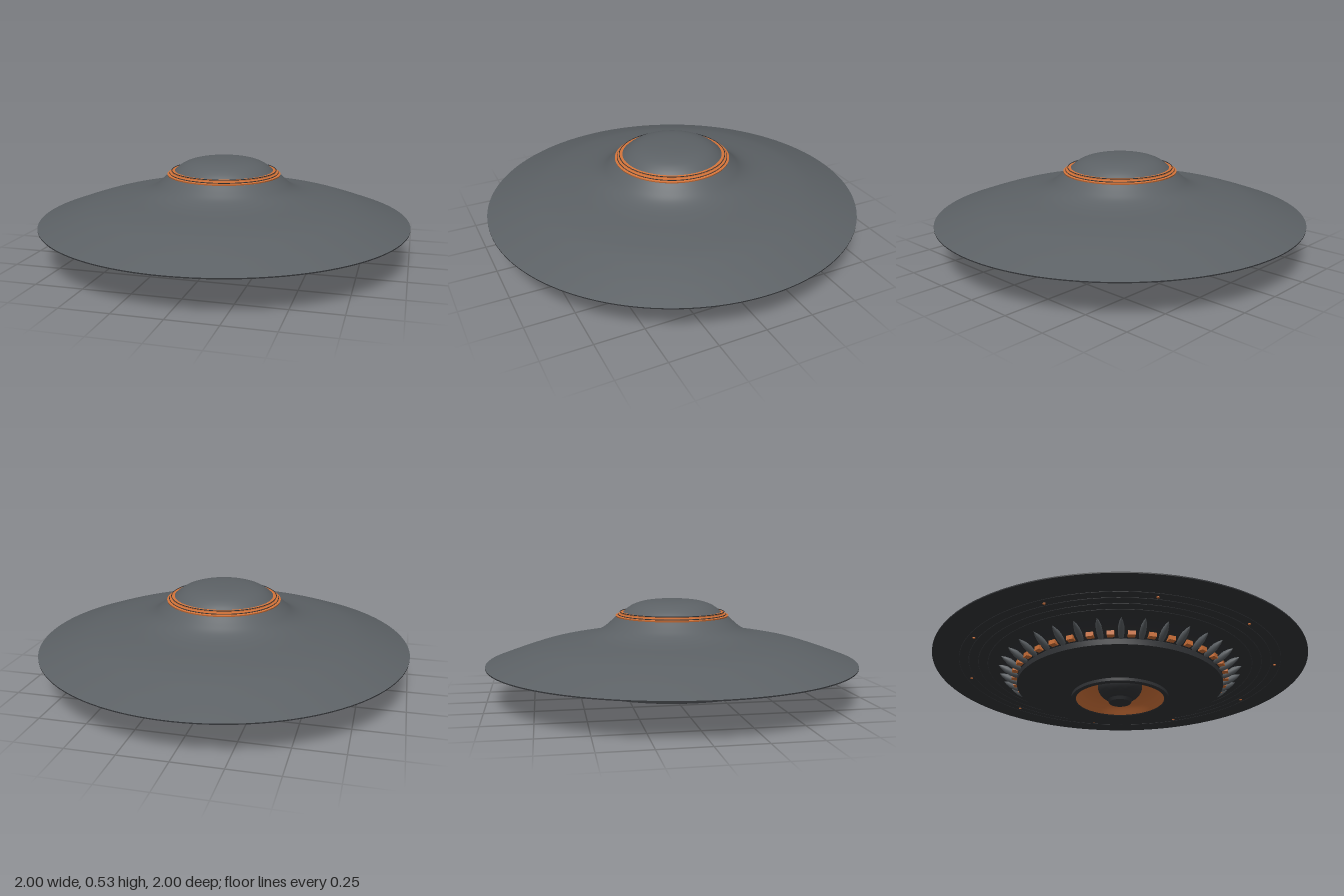
import * as THREE from 'three';
import { toCreasedNormals } from 'three/addons/utils/BufferGeometryUtils.js';

const material = (name, color) => {
  const m = new THREE.MeshStandardMaterial({ color });
  m.name = name;
  return m;
};

export function createModel() {
  const grey = material('hull grey', 0x5c6165);
  const dark = material('underside charcoal', 0x333538);
  const orange = material('glow orange', 0xd4743a);

  const model = new THREE.Group();
  model.name = 'saucer';

  const add = (name, geometry, mat, parent = model) => {
    const mesh = new THREE.Mesh(geometry, mat);
    mesh.name = name;
    parent.add(mesh);
    return mesh;
  };
  const vectors = (points) => points.map(([r, y]) => new THREE.Vector2(r, y));
  // Profiles run from the bottom centre outwards, then up to the top centre
  const smoothLathe = (points, steps) =>
    new THREE.LatheGeometry(new THREE.SplineCurve(vectors(points)).getPoints(steps), 128);
  const sharpLathe = (points) =>
    toCreasedNormals(new THREE.LatheGeometry(vectors(points), 96), 0.45);

  // Upper hull, sweeping from the thin rim up to the neck
  add('upperHull', smoothLathe([
    [1, 0.2], [0.93, 0.226], [0.84, 0.258], [0.72, 0.296], [0.6, 0.321], [0.5, 0.338],
    [0.43, 0.355], [0.38, 0.378], [0.34, 0.41], [0.305, 0.442],
  ], 40), grey);

  // Orange collar with fine grooves
  add('domeCollar', sharpLathe([
    [0.305, 0.442], [0.307, 0.449], [0.293, 0.451], [0.293, 0.457], [0.282, 0.459],
    [0.282, 0.465], [0.266, 0.467],
  ]), orange);
  for (const [r, y] of [[0.294, 0.453], [0.283, 0.467]]) {
    const groove = add('collarGroove', new THREE.TorusGeometry(r, 0.0022, 4, 96), dark);
    groove.rotation.x = Math.PI / 2;
    groove.position.y = y;
  }

  // Dome
  add('dome', smoothLathe([
    [0.27, 0.463], [0.245, 0.485], [0.21, 0.506], [0.16, 0.522], [0.09, 0.531], [0, 0.534],
  ], 24), grey);

  // Underside of the rim and the recessed wall behind the fins
  add('rimUnderside', sharpLathe([
    [0.54, 0.115], [0.56, 0.125], [0.61, 0.165], [0.65, 0.178], [0.97, 0.19], [1, 0.194], [1, 0.2],
  ]), dark);

  // Lower disc tapering to the engine collar
  add('lowerDisc', sharpLathe([
    [0.26, 0.036], [0.3, 0.042], [0.54, 0.077], [0.552, 0.08], [0.552, 0.108], [0.54, 0.118],
  ]), dark);
  add('engineCollar', sharpLathe([
    [0.235, 0.022], [0.24, 0.015], [0.254, 0.015], [0.26, 0.02], [0.26, 0.038],
  ]), dark);

  // Engine bowl and faceted core
  add('engineBowl', smoothLathe([
    [0, 0.14], [0.09, 0.135], [0.15, 0.11], [0.2, 0.07], [0.236, 0.02],
  ], 20), orange);
  const core = add('engineCore', new THREE.IcosahedronGeometry(0.12, 4), dark);
  core.scale.y = 0.72;
  core.position.y = 0.092;
  const cap = add('coreCap', new THREE.CylinderGeometry(0.066, 0.058, 0.016, 24), dark);
  cap.position.y = 0.008;

  // Ring of leaf-shaped fins with lamps between them
  const finProfile = vectors([
    [0, -0.06], [0.016, -0.05], [0.02, -0.02], [0.018, 0.015], [0.01, 0.045], [0, 0.065],
  ]);
  const finGeometry = new THREE.LatheGeometry(finProfile, 10);
  finGeometry.scale(1, 1, 0.8).rotateZ(-1.1); // lean the long axis outwards
  const lampGeometry = new THREE.BoxGeometry(0.03, 0.022, 0.036);
  const count = 36;
  for (let i = 0; i < count; i++) {
    const sector = new THREE.Group();
    sector.name = 'finSector';
    sector.rotation.y = (i / count) * Math.PI * 2;
    model.add(sector);
    add('fin', finGeometry, grey, sector).position.set(0.597, 0.14, 0);
    const lamp = add('lamp', lampGeometry, orange, sector);
    lamp.position.set(0.568, 0.127, 0);
    // Shift the lamp half a step around the ring
    lamp.position.applyAxisAngle(new THREE.Vector3(0, 1, 0), Math.PI / count);
    lamp.rotation.y = Math.PI / count;
  }

  // Fine seams and small marker lights under the rim
  for (const r of [0.71, 0.76, 0.81, 0.86]) {
    const seam = add('rimSeam', new THREE.TorusGeometry(r, 0.002, 4, 96), dark);
    seam.rotation.x = Math.PI / 2;
    seam.position.y = 0.178 + ((r - 0.65) / 0.32) * 0.012;
  }
  for (let i = 0; i < 10; i++) {
    const angle = ((i + 0.3) / 10) * Math.PI * 2;
    const light = add('markerLight', new THREE.CylinderGeometry(0.007, 0.007, 0.006, 10), orange);
    light.position.set(Math.cos(angle) * 0.83, 0.183, Math.sin(angle) * 0.83);
  }

  return model;
}
